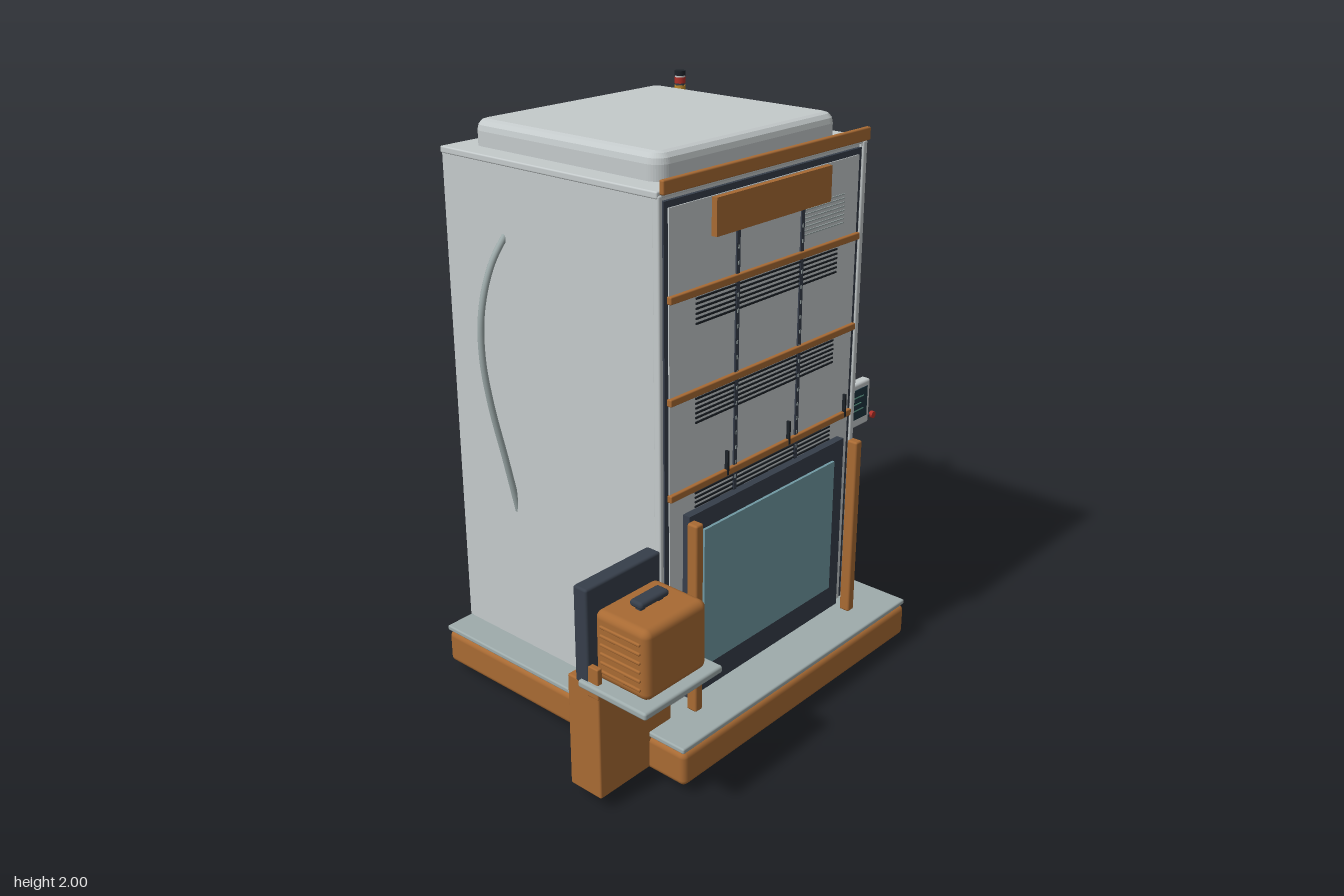
import * as THREE from 'three';
import { RoundedBoxGeometry } from 'three/addons/geometries/RoundedBoxGeometry.js';

const mat = (color) => new THREE.MeshStandardMaterial({ color });
const M = {
  shell: mat(0xc4cacb), plate: mat(0x9eabab), copper: mat(0xa86a33), dark: mat(0x363e4a),
  black: mat(0x1d2228), glass: mat(0x7099a3), screen: mat(0x1d3540), trace: mat(0x5fa08c),
  red: mat(0xb03028), amber: mat(0xc08a2c), green: mat(0x7f9c88), floor: mat(0x77756f),
};

export function createModel() {
  const model = new THREE.Group();

  const add = (name, geometry, material, parent = model) => {
    const mesh = new THREE.Mesh(geometry, material);
    mesh.name = name;
    parent.add(mesh);
    return mesh;
  };
  // Box given by its limits on each axis, optionally with rounded edges
  const box = (name, material, [x0, x1], [y0, y1], [z0, z1], r = 0, parent = model) => {
    const s = [x1 - x0, y1 - y0, z1 - z0];
    const g = r ? new RoundedBoxGeometry(...s, 3, r) : new THREE.BoxGeometry(...s);
    const mesh = add(name, g, material, parent);
    mesh.position.set((x0 + x1) / 2, (y0 + y1) / 2, (z0 + z1) / 2);
    return mesh;
  };
  const cyl = (name, material, r, [y0, y1], x, z, parent = model) => {
    const mesh = add(name, new THREE.CylinderGeometry(r, r, y1 - y0, 24), material, parent);
    mesh.position.set(x, (y0 + y1) / 2, z);
    return mesh;
  };
  const group = (name) => {
    const g = new THREE.Group();
    g.name = name;
    model.add(g);
    return g;
  };

  // Base, deck and underside
  box('base', M.copper, [-0.58, 0.64], [0.035, 0.155], [-0.583, 0.525], 0.02);
  box('deck', M.plate, [-0.58, 0.64], [0.157, 0.176], [-0.586, 0.522], 0.006);
  box('undertray', M.dark, [-0.47, 0.53], [0.016, 0.05], [-0.58, 0.33]);
  box('undersidePanel', M.floor, [-0.4, 0.46], [0.012, 0.03], [-0.52, 0.27]);
  for (const x of [-0.51, 0.57]) for (const z of [-0.52, 0.45])
    cyl('cornerFoot', M.black, 0.036, [0.01, 0.04], x, z);
  for (const x of [-0.32, 0.38]) for (const z of [-0.31, 0.15])
    cyl('innerFoot', M.black, 0.025, [0, 0.02], x, z);

  // Cabinet shell
  box('cabinet', M.shell, [-0.465, 0.525], [0.17, 1.845], [-0.575, 0.322]);
  box('backPanel', M.shell, [-0.47, 0.53], [0.06, 1.85], [-0.587, -0.572]);
  box('leftSide', M.shell, [-0.472, -0.455], [0.17, 1.85], [-0.57, 0.33]);
  box('rightSide', M.shell, [0.505, 0.53], [0.17, 1.85], [-0.57, 0.33]);
  box('topPlate', M.shell, [-0.478, 0.535], [1.84, 1.862], [-0.587, 0.332], 0.005);

  // Domed roof cover with a soft bevel
  const roof = new THREE.Shape();
  const b = 0.03, hw = 0.43 - b, hd = 0.3975 - b, c = 0.02;
  roof.moveTo(-hw + c, -hd);
  [[hw, -hd, 0], [hw, hd, 1], [-hw, hd, 2], [-hw, -hd, 3]].forEach(([x, y, i]) => {
    const a = (i - 1) * Math.PI / 2;
    roof.absarc(x - Math.sign(x) * c, y - Math.sign(y) * c, c, a, a + Math.PI / 2, false);
  });
  const roofGeo = new THREE.ExtrudeGeometry(roof, {
    depth: 0.05, bevelSize: b, bevelThickness: 0.035, bevelSegments: 3, curveSegments: 5,
  });
  roofGeo.rotateX(-Math.PI / 2);
  add('roofCover', roofGeo, M.shell).position.set(0.03, 1.86, -0.1275);

  // Front face: dark reveal, pale panel, edge posts, header and blank sign
  box('frontReveal', M.dark, [-0.452, 0.502], [0.18, 1.83], [0.31, 0.334]);
  box('frontPanel', M.shell, [-0.435, 0.485], [0.18, 1.81], [0.32, 0.338]);
  box('leftPost', M.shell, [-0.475, -0.457], [0.176, 1.85], [0.31, 0.336], 0.006);
  box('rightPost', M.shell, [0.51, 0.533], [0.176, 1.85], [0.31, 0.336], 0.006);
  box('headerBar', M.copper, [-0.472, 0.525], [1.853, 1.896], [0.334, 0.352], 0.005);
  box('signPlate', M.copper, [-0.25, 0.31], [1.692, 1.808], [0.338, 0.358]);

  // Shelf rails with slotted vents beneath
  const vents = group('vents');
  for (const y of [1.541, 1.227, 0.915]) {
    box('shelfRail', M.copper, [-0.44, 0.492], [y - 0.012, y + 0.012], [0.33, 0.35], 0.004);
    for (let i = 0; i < 6; i++) {
      const v = y - 0.022 - i * 0.0155;
      box('ventSlot', M.black, [-0.32, 0.38], [v - 0.003, v + 0.003], [0.335, 0.342], 0, vents);
    }
  }
  for (let i = 0; i < 8; i++) {
    const v = 1.695 - i * 0.0135;
    box('upperVentSlot', M.plate, [0.19, 0.41], [v - 0.002, v + 0.002], [0.335, 0.341], 0, vents);
  }
  for (const x of [-0.13, 0.187]) {
    box('rackStrip', M.dark, [x - 0.008, x + 0.008], [0.83, 1.695], [0.335, 0.343]);
    for (let y = 0.88; y < 1.68; y += 0.05)
      box('rackHole', M.plate, [x - 0.003, x + 0.003], [y, y + 0.012], [0.34, 0.344]);
  }
  for (const x of [-0.175, 0.14, 0.453])
    box('shelfPin', M.black, [x - 0.004, x + 0.004], [0.908, 0.99], [0.34, 0.352]);

  // Windowed door: frame with an opening, glass and guard posts
  const frame = new THREE.Shape();
  frame.moveTo(-0.375, 0.19).lineTo(0.43, 0.19).lineTo(0.43, 0.84).lineTo(-0.375, 0.84).closePath();
  const hole = new THREE.Path();
  hole.moveTo(-0.315, 0.285).lineTo(-0.315, 0.777).lineTo(0.367, 0.777).lineTo(0.367, 0.285).closePath();
  frame.holes.push(hole);
  add('doorFrame', new THREE.ExtrudeGeometry(frame, { depth: 0.03, bevelEnabled: false }), M.dark)
    .position.z = 0.336;
  box('doorGlass', M.glass, [-0.315, 0.367], [0.285, 0.777], [0.34, 0.376]);
  for (const x of [-0.39, 0.445]) {
    box('guardPost', M.copper, [x - 0.017, x + 0.017], [0.176, 0.838], [0.382, 0.422], 0.007);
  }

  // Side modules
  for (const y of [0.885, 1.1625, 1.4325])
    box('sideModule', M.copper, [0.49, 0.612], [y - 0.083, y + 0.083], [-0.316, -0.176], 0.008);

  // Control panel
  const panel = group('controlPanel');
  box('panelArm', M.plate, [0.668, 0.695], [0.588, 0.845], [0.163, 0.198], 0.008, panel);
  box('panelCase', M.shell, [0.585, 0.78], [0.755, 0.927], [0.196, 0.234], 0.01, panel);
  box('panelScreen', M.screen, [0.607, 0.758], [0.79, 0.905], [0.22, 0.237], 0, panel);
  [[0.63, 0.735, 0.875], [0.645, 0.72, 0.85], [0.63, 0.735, 0.825]].forEach(([x0, x1, y]) =>
    box('screenLine', M.trace, [x0, x1], [y - 0.002, y + 0.002], [0.236, 0.2385], 0, panel));
  const button = cyl('stopButton', M.red, 0.013, [0.773, 0.787], 0.795, 0.238, panel);
  button.rotation.x = Math.PI / 2;
  box('buttonStem', M.dark, [0.77, 0.795], [0.776, 0.784], [0.224, 0.236], 0, panel);

  // Signal tower
  const tower = group('signalTower');
  [[M.plate, 0.01, 1.855, 1.9], [M.green, 0.019, 1.9, 1.925], [M.amber, 0.019, 1.925, 1.95],
    [M.dark, 0.016, 1.95, 1.957], [M.red, 0.019, 1.957, 1.978], [M.shell, 0.017, 1.978, 1.984],
    [M.black, 0.02, 1.984, 2.0]].forEach(([m, r, y0, y1]) =>
    cyl('towerSegment', m, r, [y0, y1], 0.465, -0.415, tower));

  // Bowed hose on the left wall
  const hose = new THREE.CatmullRomCurve3([
    [-0.43, 1.66, -0.312], [-0.52, 1.54, -0.32], [-0.563, 1.4, -0.328], [-0.57, 1.25, -0.33],
    [-0.548, 1.08, -0.327], [-0.503, 0.87, -0.32], [-0.44, 0.57, -0.312],
  ].map((p) => new THREE.Vector3(...p)));
  add('sideHose', new THREE.TubeGeometry(hose, 48, 0.011, 10), M.plate);

  // Side station: pedestal, back board, tray and ribbed canister
  const station = group('sideStation');
  box('pedestal', M.copper, [-0.798, -0.478], [0.045, 0.44], [0.25, 0.38], 0.006, station);
  box('backBoard', M.dark, [-0.802, -0.482], [0.435, 0.758], [0.288, 0.343], 0.008, station);
  box('tray', M.plate, [-0.815, -0.47], [0.427, 0.452], [0.31, 0.583], 0.008, station);
  for (const x of [-0.79, -0.495])
    box('trayBracket', M.copper, [x - 0.01, x + 0.01], [0.4, 0.505], [0.335, 0.38], 0.004, station);
  box('canister', M.copper, [-0.775, -0.508], [0.452, 0.685], [0.343, 0.555], 0.025, station);
  for (let i = 0; i < 6; i++) {
    const y = 0.49 + i * 0.03;
    box('canisterRib', M.copper, [-0.781, -0.502], [y - 0.005, y + 0.005], [0.37, 0.53], 0.004, station);
  }
  box('canisterHandle', M.dark, [-0.703, -0.58], [0.695, 0.718], [0.418, 0.468], 0.01, station);
  for (const x of [-0.68, -0.603])
    box('handleStem', M.dark, [x - 0.01, x + 0.01], [0.675, 0.705], [0.433, 0.453], 0, station);

  return model;
}
